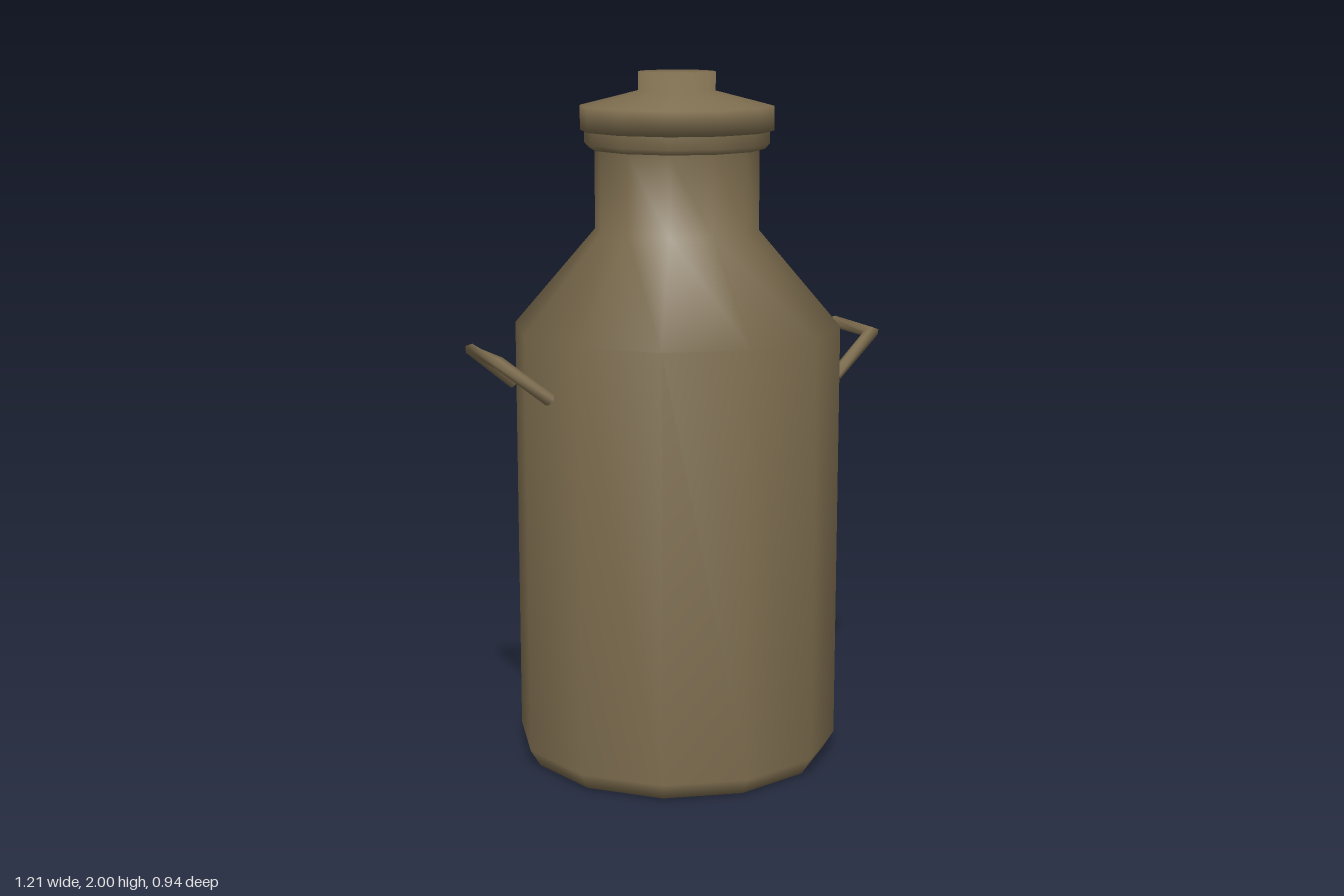
import * as THREE from 'three';

const SIDES = 12;

// Twelve-sided turned part with smooth normals
function turned(name, profile, material) {
  const points = profile.map(([r, y]) => new THREE.Vector2(r, y));
  const mesh = new THREE.Mesh(new THREE.LatheGeometry(points, SIDES), material);
  mesh.name = name;
  return mesh;
}

// Bent bar handle: six-sided sections with mitred corners and a twist in the grip
function handleGeometry() {
  const N = 6, R = 0.018, TWIST = 1.75;
  const d = new THREE.Vector3(0.14, 0.112, 0).normalize();
  const n = new THREE.Vector3(d.y, -d.x, 0);
  const z = new THREE.Vector3(0, 0, 1);
  const rings = [
    { c: [0.45, 1.12, 0.14], u: z.clone(), twist: 0 },
    { c: [0.585, 1.23, 0.108], u: z.clone().add(d), twist: 0 },
    { c: [0.585, 1.23, -0.108], u: d.clone().sub(z), twist: TWIST },
    { c: [0.45, 1.12, -0.14], u: z.clone().negate(), twist: TWIST },
  ];
  const pos = [], index = [];
  const addRing = ({ c, u, twist }) => {
    for (let j = 0; j < N; j++) {
      const a = (j / N) * Math.PI * 2 + twist;
      const p = new THREE.Vector3(...c)
        .addScaledVector(u, R * Math.cos(a))
        .addScaledVector(n, R * Math.sin(a));
      pos.push(p.x, p.y, p.z);
    }
  };
  rings.forEach(addRing);
  for (let i = 0; i < rings.length - 1; i++) {
    for (let j = 0; j < N; j++) {
      const k = (j + 1) % N;
      const a = i * N + j, b = i * N + k;
      index.push(a, b, a + N, b, b + N, a + N);
    }
  }
  // End caps with their own vertices
  addRing(rings[0]);
  addRing(rings[3]);
  const s = rings.length * N, e = s + N;
  for (let j = 1; j < N - 1; j++) {
    index.push(s, s + j + 1, s + j, e, e + j, e + j + 1);
  }
  const geo = new THREE.BufferGeometry();
  geo.setAttribute('position', new THREE.Float32BufferAttribute(pos, 3));
  geo.setIndex(index);
  geo.computeVertexNormals();
  return geo;
}

export function createModel() {
  const group = new THREE.Group();
  group.name = 'milkChurn';
  const metal = new THREE.MeshStandardMaterial({ color: 0x7c6c4e });
  metal.name = 'agedBrass';

  // Body, shoulder and neck
  group.add(turned('body', [
    [0, 0], [0.44, 0.005], [0.47, 0.055], [0.47, 1.28],
    [0.235, 1.555], [0.235, 1.785],
  ], metal));

  // Rolled rim around the mouth
  group.add(turned('rim', [
    [0.232, 1.785], [0.25, 1.785], [0.264, 1.8], [0.264, 1.838],
  ], metal));

  // Lid with its knob
  group.add(turned('lid', [
    [0, 1.836], [0.276, 1.836], [0.276, 1.905], [0.11, 1.947],
    [0.11, 2], [0, 2],
  ], metal));

  // Pair of side handles
  const geo = handleGeometry();
  for (const [name, turn] of [['leftHandle', 0], ['rightHandle', Math.PI]]) {
    const handle = new THREE.Mesh(geo, metal);
    handle.name = name;
    handle.rotation.y = turn;
    group.add(handle);
  }
  return group;
}
